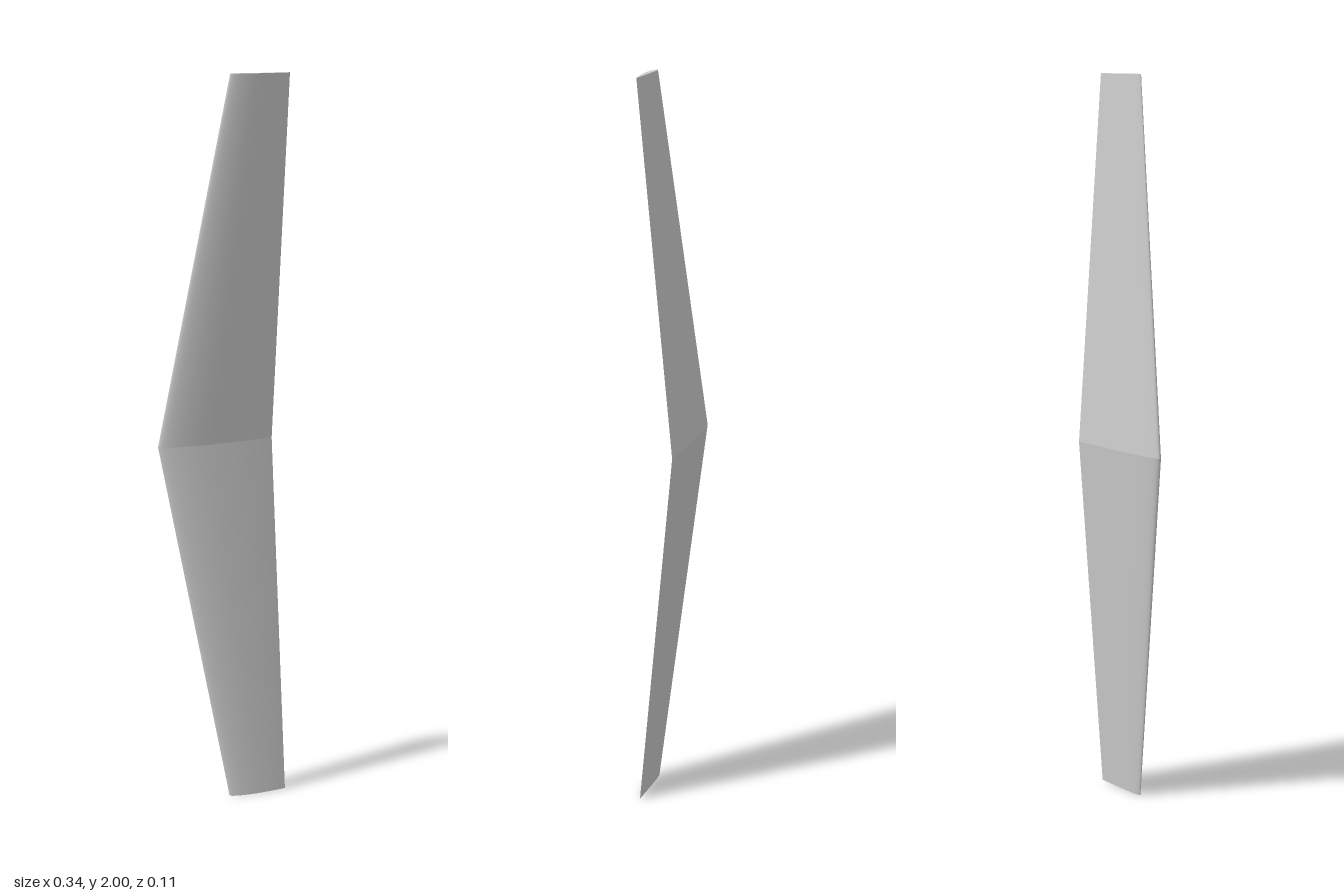
import * as THREE from 'three';

const N = 40; // segments round the aerofoil

// Cambered aerofoil, chord 0..1, running trailing edge -> +z side -> leading edge -> -z side
function aerofoil(camber = 0.02, peak = 0.4, thickness = 0.1) {
  const points = [];
  for (let i = 0; i <= N; i++) {
    const x = (1 + Math.cos((2 * Math.PI * i) / N)) / 2;
    const half = 5 * thickness * (0.2969 * Math.sqrt(x) - 0.126 * x
      - 0.3516 * x ** 2 + 0.2843 * x ** 3 - 0.1036 * x ** 4);
    const k = x < peak ? peak : 1 - peak;
    const mean = x < peak
      ? (camber / k ** 2) * (2 * peak * x - x * x)
      : (camber / k ** 2) * (1 - 2 * peak + 2 * peak * x - x * x);
    points.push([x, mean + (i <= N / 2 ? half : -half)]);
  }
  return points;
}

// Places the aerofoil between a leading and a trailing edge point (x, z) at height y
function section(y, le, te) {
  const dx = te[0] - le[0], dz = te[1] - le[1];
  return aerofoil().map(([u, v]) => [le[0] + u * dx - v * dz, y, le[1] + u * dz + v * dx]);
}

function toMesh(name, positions, index) {
  const geometry = new THREE.BufferGeometry();
  geometry.setAttribute('position', new THREE.Float32BufferAttribute(positions.flat(), 3));
  geometry.setIndex(index);
  geometry.computeVertexNormals();
  const mesh = new THREE.Mesh(geometry, new THREE.MeshStandardMaterial({ color: 0xcccccc }));
  mesh.name = name;
  return mesh;
}

// One tapered wing half with its flat tip; dir is +1 for upper, -1 for lower
function wingHalf(name, dir) {
  const root = section(1, [-0.171, -0.0455], [0.161, -0.0455]);
  const tip = section(1 + dir, [0.004, 0.041], [0.17, 0.0455]);
  const skin = [], cap = [];
  const tri = (list, a, b, c) => (dir > 0 ? list.push(a, b, c) : list.push(a, c, b));

  // Skin lofted from root to tip
  for (let i = 0; i < N; i++) {
    const a = i, b = i + 1, c = N + 1 + i, d = c + 1;
    tri(skin, a, c, b);
    tri(skin, b, c, d);
  }
  // Tip cap, strips joining both sides of the aerofoil
  for (let i = 0; i < N / 2; i++) {
    if (i > 0) tri(cap, i, N - i, i + 1);
    if (i < N / 2 - 1) tri(cap, i + 1, N - i, N - i - 1);
  }

  const half = new THREE.Group();
  half.name = name;
  half.add(toMesh('wingSkin', [...root, ...tip], skin), toMesh('wingTip', tip, cap));
  return half;
}

export function createModel() {
  const wing = new THREE.Group();
  wing.name = 'sweptWing';
  wing.add(wingHalf('upperWingHalf', 1), wingHalf('lowerWingHalf', -1));
  return wing;
}
